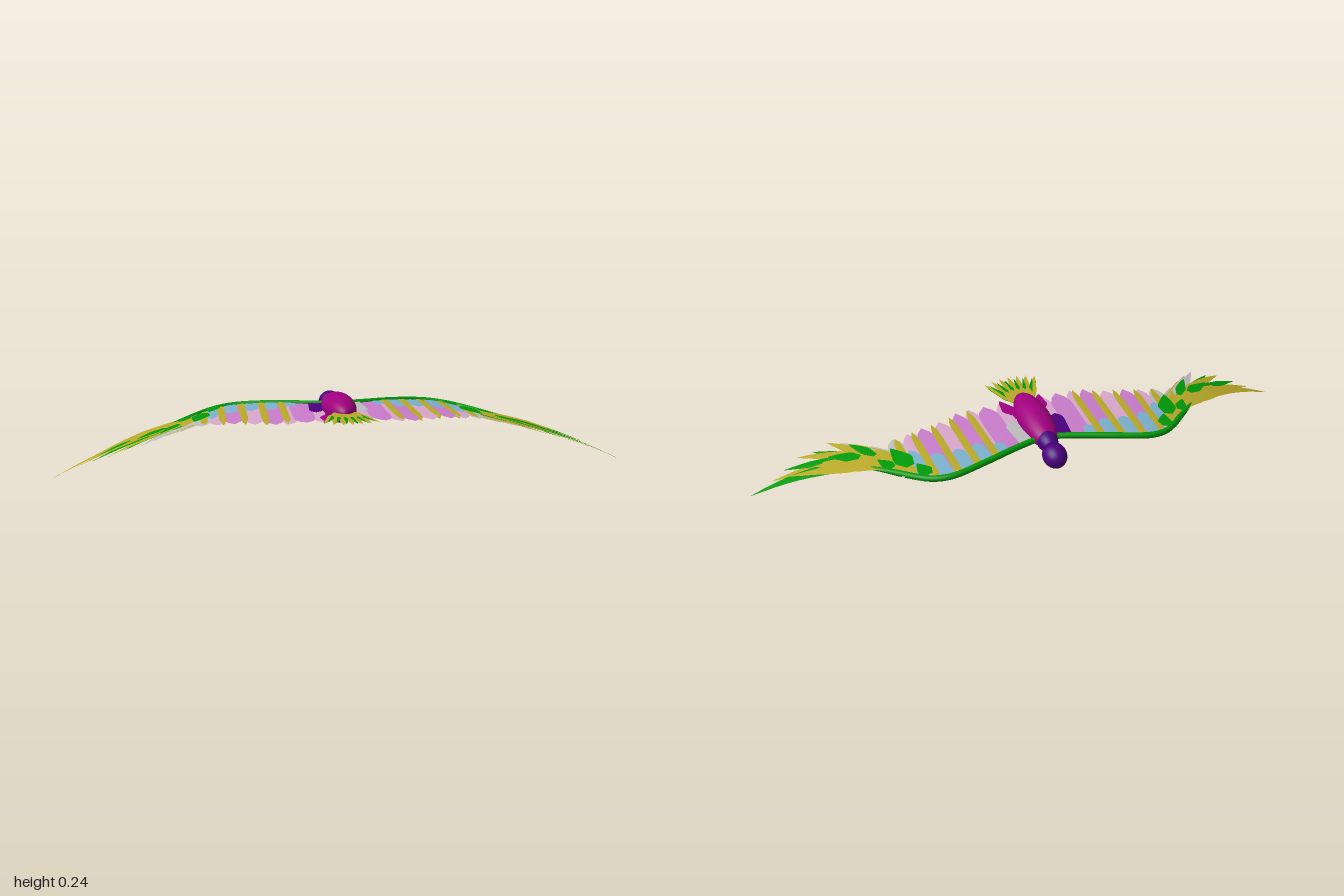
import * as THREE from 'three';

const mat = (name, color) => {
  const m = new THREE.MeshStandardMaterial({ color, side: THREE.DoubleSide });
  m.name = name;
  return m;
};
const M = {
  magenta: mat('magenta', 0xa0007e), purple: mat('purple', 0x4b007e),
  green: mat('green', 0x009808), olive: mat('olive', 0xb8a828),
  blue: mat('blue', 0x7cb0cc), pink: mat('pink', 0xd8a6cc),
  orchid: mat('orchid', 0xc87cca), gray: mat('gray', 0xbcbcbc),
};

const { lerp, clamp } = THREE.MathUtils;

// piecewise-linear lookup
function along(table, x) {
  for (let i = 1; i < table.length; i++) {
    const [x0, v0] = table[i - 1], [x1, v1] = table[i];
    if (x <= x1) return lerp(v0, v1, clamp((x - x0) / (x1 - x0), 0, 1));
  }
  return table[table.length - 1][1];
}
const LEAD = [[0.03, -0.14], [0.12, -0.167], [0.24, -0.207], [0.36, -0.233], [0.42, -0.218], [0.47, -0.18], [0.52, -0.128], [0.6, -0.05], [0.69, 0.025]];
const TRAIL = [[0.07, 0.12], [0.22, 0.13], [0.3, 0.095], [0.45, 0.06], [0.55, 0.05]];
const ARCH = [[0, 0.195], [0.2, 0.19], [0.36, 0.179], [0.45, 0.168], [0.53, 0.155], [0.62, 0.138], [0.7, 0.119], [0.78, 0.094], [0.86, 0.064], [0.93, 0.034], [1, 0]];

// arched wing surface: drooping outward and sloping to the trailing edge
const wingY = (x, z) => {
  const slope = 0.022 * (1 - clamp((x - 0.25) / 0.35, 0, 1));
  return along(ARCH, x) - slope * clamp((z + 0.2) / 0.3, 0, 1);
};

// thin feather draped over a surface; shape gives half-width along its length
function feather(parent, name, material, root, tip, width, opt = {}) {
  const { lift = 0, sag = 0, blunt = false, surface = wingY } = opt;
  const n = 10, pos = [], index = [];
  const dx = tip[0] - root[0], dz = tip[1] - root[1], len = Math.hypot(dx, dz);
  for (let i = 0; i <= n; i++) {
    const t = i / n;
    const shape = blunt ? Math.min(1, Math.sqrt((1 - t) * 4.5))
      : Math.min(1, 0.45 + t * 1.8) * Math.pow(Math.min(1, (1 - t) * 1.7), 0.8);
    const w = width / 2 * shape;
    const cx = root[0] + dx * t, cz = root[1] + dz * t + sag * Math.sin(Math.PI * t);
    for (const e of [-1, 0, 1]) {
      const x = cx + e * w * -dz / len, z = cz + e * w * dx / len;
      pos.push(x, surface(x, z) + lift + (e ? 0 : 0.0006), z);
    }
  }
  for (let i = 0; i < n; i++) for (let k = 0; k < 2; k++) {
    const a = i * 3 + k;
    index.push(a, a + 1, a + 3, a + 1, a + 4, a + 3);
  }
  const g = new THREE.BufferGeometry();
  g.setAttribute('position', new THREE.Float32BufferAttribute(pos, 3));
  g.setIndex(index);
  g.computeVertexNormals();
  const mesh = new THREE.Mesh(g, material);
  mesh.name = name;
  parent.add(mesh);
}

function ellipsoid(parent, name, material, [x, y, z], r) {
  const mesh = new THREE.Mesh(new THREE.SphereGeometry(1, 40, 28).rotateX(Math.PI / 2), material);
  mesh.name = name;
  mesh.position.set(x, y, z);
  mesh.scale.set(...r);
  parent.add(mesh);
}

// tube along the leading edge, thinning toward the outer end
function leadingEdge(parent) {
  const pts = LEAD.map(([x, z]) => new THREE.Vector3(x, wingY(x, z) + 0.001, z));
  const curve = new THREE.CatmullRomCurve3(pts);
  const n = 48, sides = 10;
  const g = new THREE.TubeGeometry(curve, n, 0.011, sides);
  const p = g.attributes.position, v = new THREE.Vector3();
  for (let i = 0; i < p.count; i++) {
    const t = Math.floor(i / (sides + 1)) / n, c = curve.getPointAt(t);
    v.fromBufferAttribute(p, i).sub(c).multiplyScalar(Math.min(1, 0.1 + (1 - t) * 3)).add(c);
    p.setXYZ(i, v.x, v.y, v.z);
  }
  const mesh = new THREE.Mesh(g, M.green);
  mesh.name = 'leadingEdge';
  parent.add(mesh);
}

function buildWing(side) {
  const wing = new THREE.Group();
  wing.name = side > 0 ? 'leftWing' : 'rightWing';
  leadingEdge(wing);

  // broad inner feathers: x, width, colour
  const broad = [
    [0.075, 0.05, M.pink], [0.13, 0.075, M.orchid], [0.185, 0.06, M.pink], [0.235, 0.065, M.orchid],
    [0.305, 0.07, M.pink], [0.375, 0.065, M.orchid], [0.43, 0.06, M.pink], [0.485, 0.06, M.gray],
  ];
  broad.forEach(([x, w, m], i) =>
    feather(wing, 'innerFeather', m, [x, along(LEAD, x) + 0.005], [x + 0.008, along(TRAIL, x) + 0.012],
      w, { blunt: true, lift: (i % 2) * 0.0015 }));

  // narrow yellow feathers between the broad ones
  for (const x of [0.192, 0.263, 0.335, 0.41, 0.475]) {
    feather(wing, 'narrowFeather', M.olive, [x, along(LEAD, x) + 0.01], [x + 0.01, along(TRAIL, x) + 0.005],
      0.026, { blunt: true, lift: 0.005 });
  }

  // blue coverts behind the leading edge, above and below
  for (const [x, w, len] of [[0.16, 0.04, 0.07], [0.228, 0.046, 0.12], [0.299, 0.05, 0.13], [0.375, 0.052, 0.15], [0.447, 0.05, 0.17]]) {
    const z0 = along(LEAD, x);
    feather(wing, 'blueCovert', M.blue, [x, z0 + 0.005], [x + 0.008, z0 + len], w, { blunt: true, lift: 0.004 });
    feather(wing, 'blueUnderCovert', M.blue, [x, z0 + 0.005], [x + 0.008, z0 + len], w + 0.006, { blunt: true, lift: -0.002 });
  }
  // yellow undersides between the blue coverts
  for (const x of [0.192, 0.263, 0.335, 0.41]) {
    feather(wing, 'narrowUnderFeather', M.olive, [x, along(LEAD, x) + 0.01], [x + 0.01, along(TRAIL, x)],
      0.022, { blunt: true, lift: -0.003 });
  }

  // feathers against the body
  feather(wing, 'shoulderFeather', side < 0 ? M.purple : M.gray, [0.07, -0.145], [0.085, 0.0], 0.05, { blunt: true, lift: 0.005 });
  feather(wing, 'shoulderUnderFeather', M.purple, [0.07, -0.145], [0.085, 0.0], 0.05, { blunt: true, lift: -0.002 });
  feather(wing, 'flankFeather', M.magenta, [0.05, 0.04], [0.075, 0.145], 0.05, { lift: 0.005 });
  feather(wing, 'flankUnderFeather', M.magenta, [0.05, 0.02], [0.075, 0.145], 0.055, { lift: -0.002 });

  // long outer flight feathers: root, tip, width, colour
  const outer = [
    [[0.58, -0.04], [0.998, 0.112], 0.055, side > 0 ? M.green : M.olive],
    [[0.57, -0.04], [0.92, 0.122], 0.055, M.olive],
    [[0.55, -0.06], [0.87, 0.145], 0.06, M.green],
    [[0.52, -0.08], [0.815, 0.175], 0.06, M.olive],
    [[0.51, -0.08], [0.76, 0.165], 0.06, M.green],
    [[0.5, -0.09], [0.705, 0.182], 0.06, side < 0 ? M.gray : M.olive],
    [[0.49, -0.1], [0.665, 0.155], 0.06, M.gray],
    [[0.48, -0.1], [0.62, 0.115], 0.06, M.olive],
    [[0.47, -0.1], [0.57, 0.075], 0.06, M.gray],
  ];
  outer.forEach(([root, tip, w, m], i) =>
    feather(wing, 'flightFeather', m, root, tip, w, { lift: 0.002 - i * 0.0008, sag: i < 4 ? 0.02 : 0 }));

  // overlapping coverts at the wrist, with green ones scattered among them
  const wrist = [
    [[0.48, -0.16], [0.56, 0.04], 0.06, M.olive],
    [[0.5, -0.14], [0.62, 0.07], 0.06, M.olive],
    [[0.53, -0.11], [0.68, 0.1], 0.06, M.olive],
    [[0.55, -0.08], [0.78, 0.085], 0.06, M.olive],
    [[0.58, -0.06], [0.86, 0.09], 0.05, M.olive],
    [[0.62, 0.02], [0.72, 0.09], 0.045, M.green],
    [[0.74, 0.075], [0.85, 0.125], 0.032, M.green],
    [[0.57, 0.0], [0.64, 0.11], 0.036, M.green],
    [[0.475, -0.12], [0.515, 0.01], 0.065, M.green],
    [[0.53, -0.1], [0.57, -0.03], 0.04, M.green],
    [[0.43, -0.2], [0.455, -0.12], 0.05, M.green],
  ];
  wrist.forEach(([root, tip, w, m], i) =>
    feather(wing, 'wristCovert', m, root, tip, w, { lift: 0.0045 + i * 0.0006 }));

  wing.scale.x = side;
  return wing;
}

export function createModel() {
  const bird = new THREE.Group();
  bird.name = 'bird';

  ellipsoid(bird, 'body', M.magenta, [0, 0.195, -0.035], [0.058, 0.05, 0.165]);
  ellipsoid(bird, 'neck', M.purple, [0, 0.192, -0.157], [0.037, 0.037, 0.058]);
  ellipsoid(bird, 'head', M.purple, [0, 0.182, -0.238], [0.042, 0.042, 0.052]);

  bird.add(buildWing(1), buildWing(-1));

  // fanned tail: olive feathers with green ones between and beneath
  const tail = new THREE.Group();
  tail.name = 'tail';
  const tailY = (x, z) => 0.194 - 0.06 * Math.max(0, z - 0.1);
  const fan = (name, m, count, spread, length, width, lift) => {
    for (let i = 0; i < count; i++) {
      const a = lerp(-spread, spread, i / (count - 1));
      feather(tail, name, m, [Math.sin(a) * 0.04, 0.085],
        [Math.sin(a) * length, 0.085 + Math.cos(a) * length], width,
        { lift, surface: tailY });
    }
  };
  fan('tailFeather', M.olive, 7, 0.53, 0.19, 0.038, 0);
  fan('tailGreenFeather', M.green, 6, 0.5, 0.172, 0.018, 0.0015);
  fan('tailUnderFeather', M.green, 6, 0.58, 0.17, 0.03, -0.002);
  fan('tailCovert', M.olive, 5, 0.45, 0.11, 0.042, 0.003);
  bird.add(tail);

  return bird;
}
